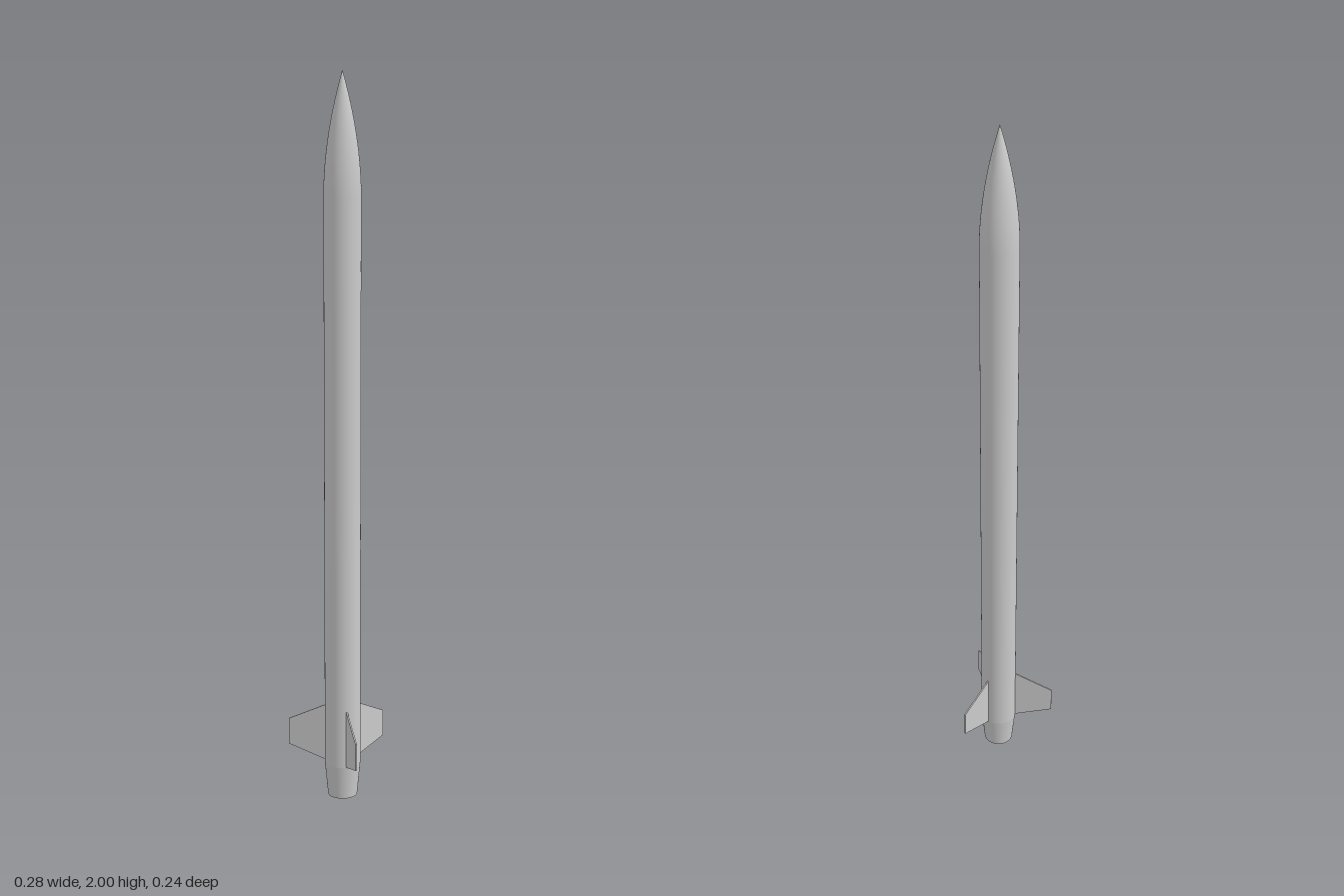
import * as THREE from 'three';

const RADIUS = 0.05;
const TAIL_RADIUS = 0.041;
const TAIL_TOP = 0.095;
const NOSE_BASE = 1.68;
const HEIGHT = 2;
const SEGMENTS = 64;

export function createModel() {
  const material = new THREE.MeshStandardMaterial({ color: 0xcccccc });
  const rocket = new THREE.Group();
  rocket.name = 'rocket';
  // Three fins make the outline uneven in z, so the body axis sits behind the centre
  rocket.position.z = -0.04;

  const add = (name, geometry, y = 0) => {
    const mesh = new THREE.Mesh(geometry, material);
    mesh.name = name;
    mesh.position.y = y;
    rocket.add(mesh);
    return mesh;
  };

  // Tapered tail with a closed base
  add('tailCone', new THREE.CylinderGeometry(RADIUS, TAIL_RADIUS, TAIL_TOP, SEGMENTS, 1, true), TAIL_TOP / 2);
  const base = add('tailBase', new THREE.CircleGeometry(TAIL_RADIUS, SEGMENTS));
  base.rotation.x = Math.PI / 2;

  // Straight body tube
  const tubeLength = NOSE_BASE - TAIL_TOP;
  add('bodyTube', new THREE.CylinderGeometry(RADIUS, RADIUS, tubeLength, SEGMENTS, 1, true), TAIL_TOP + tubeLength / 2);

  // Pointed ogive nose
  const nose = [];
  for (let i = 0; i <= 24; i++) {
    const t = i / 24;
    nose.push(new THREE.Vector2(RADIUS * (1 - t ** 1.85), NOSE_BASE + (HEIGHT - NOSE_BASE) * t));
  }
  add('noseCone', new THREE.LatheGeometry(nose, SEGMENTS));

  // Thin trapezoid fins, the first pointing to the front
  const thickness = 0.004;
  const root = RADIUS - 0.003;
  const finShape = new THREE.Shape([
    new THREE.Vector2(root, 0.095),
    new THREE.Vector2(0.158, 0.131),
    new THREE.Vector2(0.158, 0.207),
    new THREE.Vector2(root, 0.261),
  ]);
  const finGeometry = new THREE.ExtrudeGeometry(finShape, { depth: thickness, bevelEnabled: false });
  finGeometry.translate(0, 0, -thickness / 2);
  ['frontFin', 'leftFin', 'rightFin'].forEach((name, i) => {
    add(name, finGeometry).rotation.y = -Math.PI / 2 + (i * 2 * Math.PI) / 3;
  });

  return rocket;
}
